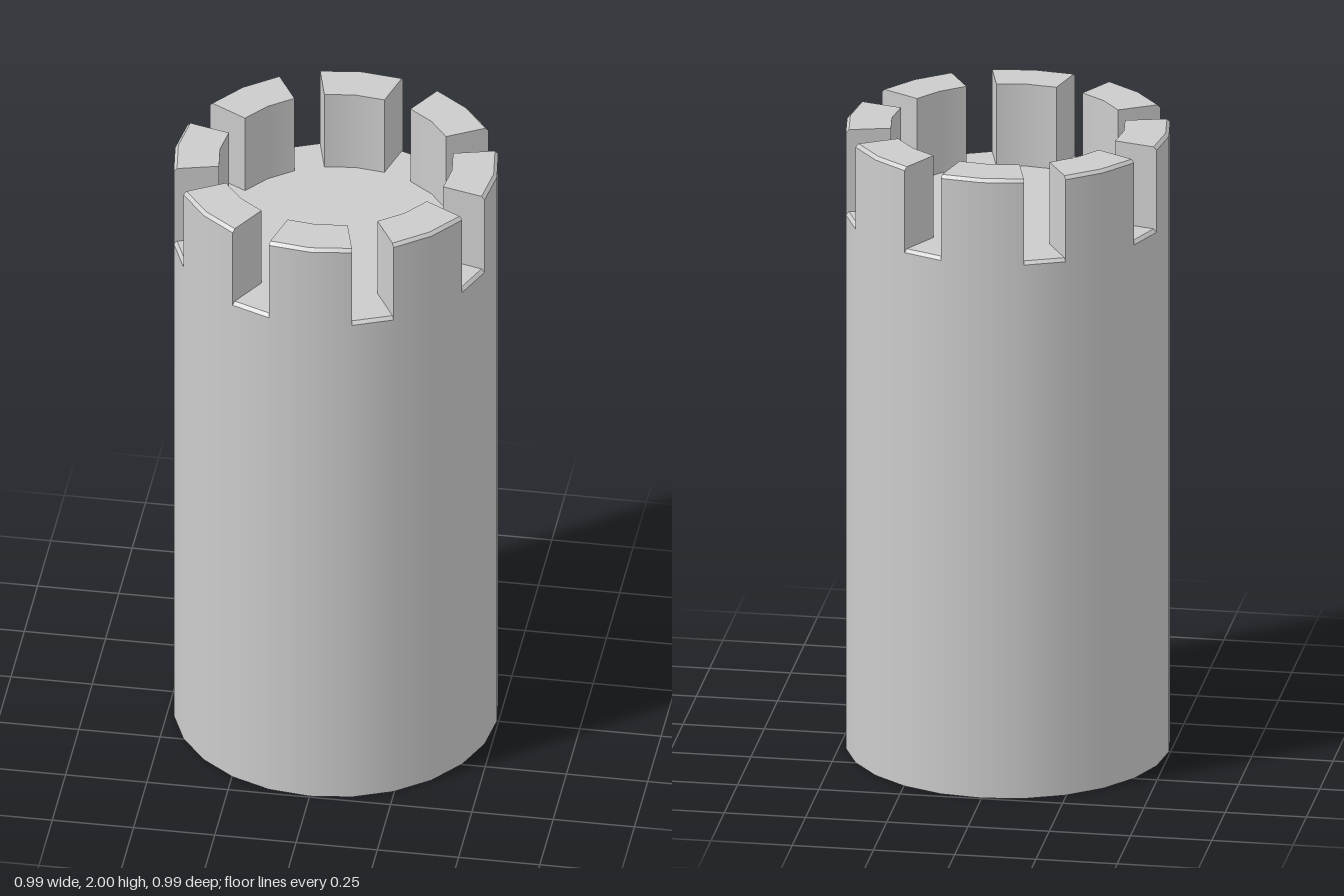
import * as THREE from 'three';

const SIDES = 24, STEP = (Math.PI * 2) / SIDES;
const R = 0.495, INNER = 0.357, BEVEL = 0.01;
const SILL = 1.735, TOP = 2;

const material = new THREE.MeshStandardMaterial({ color: 0xcccccc });
const capMaterial = new THREE.MeshStandardMaterial({ color: 0xcccccc, side: THREE.DoubleSide });

// Turns a profile part of the way round; each band is separate so its edges stay sharp
function turned(name, profile, start = 0, count = SIDES) {
  const group = new THREE.Group();
  group.name = name;
  for (let i = 0; i < profile.length - 1; i++) {
    const band = [profile[i], profile[i + 1]].map(([r, y]) => new THREE.Vector2(r, y));
    const mesh = new THREE.Mesh(
      new THREE.LatheGeometry(band, count, start * STEP, count * STEP), material);
    mesh.name = name + 'Band';
    group.add(mesh);
  }
  return group;
}

export function createModel() {
  const tower = new THREE.Group();
  tower.name = 'tower';

  // Round shaft with its base, and the floor inside the battlements
  tower.add(turned('shaft', [[0, 0], [R, 0], [R, SILL - BEVEL]]));
  tower.add(turned('towerFloor', [[INNER, SILL], [0, SILL]]));

  // Merlon cross-section, bevelled along the outer top edge
  const outline = [[R, SILL - BEVEL], [R, TOP - BEVEL], [R - BEVEL, TOP], [INNER, TOP], [INNER, SILL]];
  const endShape = new THREE.Shape(outline.map(([r, y]) => new THREE.Vector2(r, y)));
  const endGeometry = new THREE.ShapeGeometry(endShape);

  // Eight merlons two sides wide, with gaps one side wide between them
  for (let i = 0; i < 8; i++) {
    const start = i * 3 - 1;
    const merlon = turned('merlon', outline, start, 2);
    for (const edge of [start, start + 2]) {
      const end = new THREE.Mesh(endGeometry, capMaterial);
      end.name = 'merlonEnd';
      end.rotation.y = edge * STEP - Math.PI / 2;
      merlon.add(end);
    }
    tower.add(merlon);
    tower.add(turned('sill', [[R, SILL - BEVEL], [R - BEVEL, SILL], [INNER, SILL]], start + 2, 1));
  }
  return tower;
}
